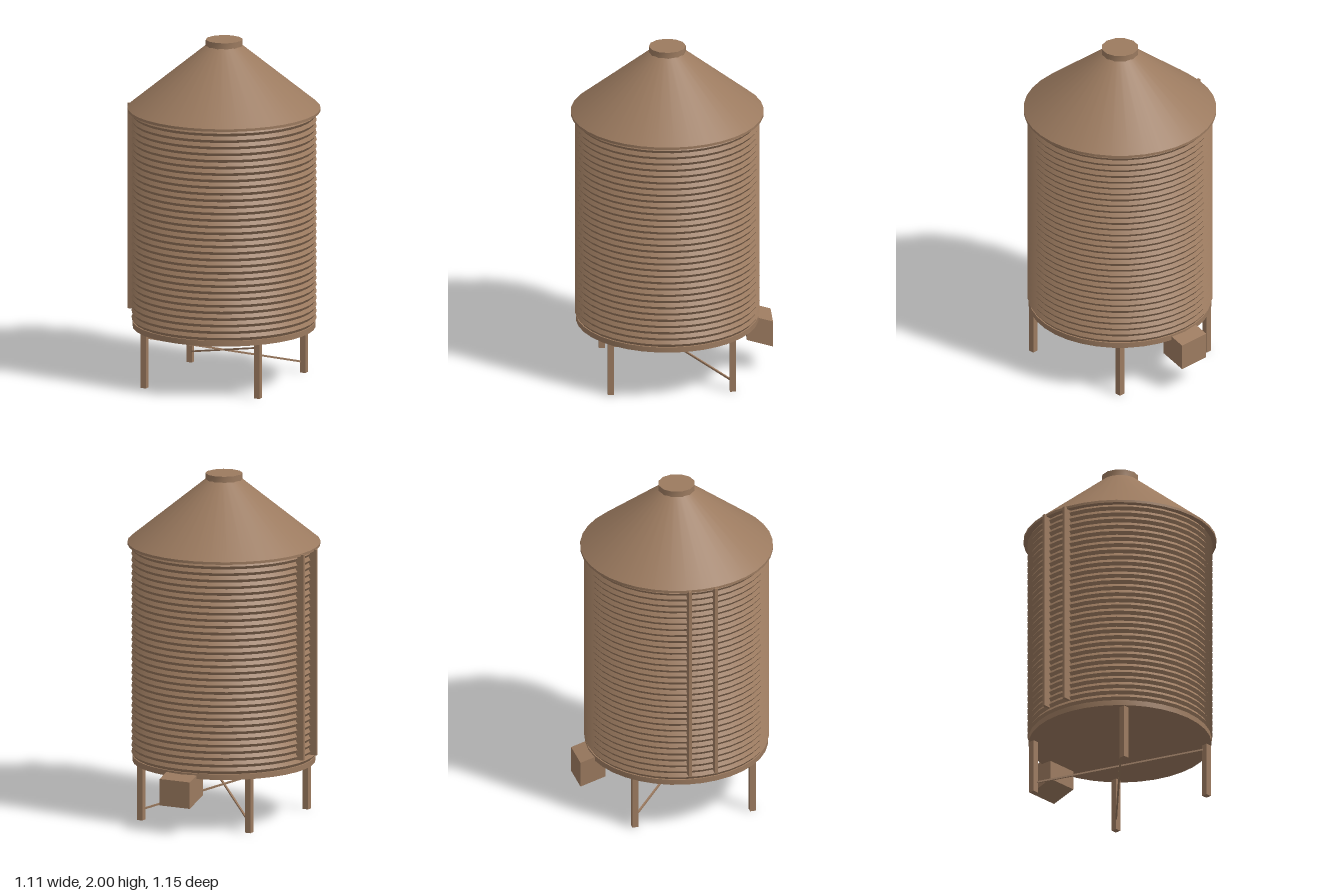
import * as THREE from 'three';
import { toCreasedNormals } from 'three/addons/utils/BufferGeometryUtils.js';

export function createModel() {
  const model = new THREE.Group();
  model.name = 'grainSilo';
  const CX = 0.004, CZ = 0.024; // axis of the tank

  const brown = new THREE.MeshStandardMaterial({ color: 0x9b7a5f });
  brown.name = 'brown metal';

  const add = (name, geometry, x = 0, y = 0, z = 0) => {
    const mesh = new THREE.Mesh(geometry, brown);
    mesh.name = name;
    mesh.position.set(x, y, z);
    model.add(mesh);
    return mesh;
  };
  const lathe = (points, sides) => toCreasedNormals(
    new THREE.LatheGeometry(points.map(([r, y]) => new THREE.Vector2(r, y)), sides), 0.6);

  // Corrugated tank with a plain band at the foot and a closed floor
  const wall = [[0, 0.318], [0.524, 0.318], [0.524, 0.35]];
  const ribs = 32, y0 = 0.35, pitch = (1.588 - y0) / ribs;
  for (let i = 0; i < ribs; i++) {
    wall.push([0.517, y0 + i * pitch + 0.001]);
    wall.push([0.53, y0 + (i + 0.5) * pitch]);
  }
  wall.push([0.517, 1.588]);
  add('tank', lathe(wall, 36), CX, 0, CZ);

  // Conical roof with a short eave
  add('roof', lathe([[0, 1.585], [0.552, 1.585], [0.552, 1.6], [0.1, 1.968]], 36), CX, 0, CZ);

  // Filler cap
  add('roofCap', toCreasedNormals(new THREE.CylinderGeometry(0.106, 0.106, 0.036, 12), 0.6), CX, 1.982, CZ);

  // Legs
  const LEG = 0.35;
  for (const sx of [-1, 1]) for (const sz of [-1, 1]) {
    add((sz > 0 ? 'front' : 'back') + (sx > 0 ? 'Left' : 'Right') + 'Leg',
      new THREE.BoxGeometry(0.035, 0.32, 0.035), CX + sx * LEG, 0.16, CZ + sz * LEG);
  }

  // Diagonal braces, high at the front legs and low at the back legs
  for (const sx of [-1, 1]) {
    const a = new THREE.Vector3(CX + sx * LEG, 0.295, CZ + LEG);
    const b = new THREE.Vector3(CX - sx * LEG, 0.06, CZ - LEG);
    const brace = add('brace', new THREE.BoxGeometry(0.01, 0.01, a.distanceTo(b)));
    brace.position.copy(a).lerp(b, 0.5);
    brace.lookAt(b);
  }

  // Ladder rails on the right side
  for (const z of [-0.055, 0.1]) {
    add('ladderRail', new THREE.BoxGeometry(0.048, 1.205, 0.017), -0.534, 0.9925, z);
  }

  // Outlet chute, sheared so that it slopes down to the back
  const chute = new THREE.BoxGeometry(0.195, 0.155, 0.15);
  const p = chute.attributes.position;
  for (let i = 0; i < p.count; i++) p.setY(i, p.getY(i) + 0.3 * p.getZ(i));
  chute.computeVertexNormals();
  add('outletChute', chute, CX, 0.26, -0.5);

  return model;
}
